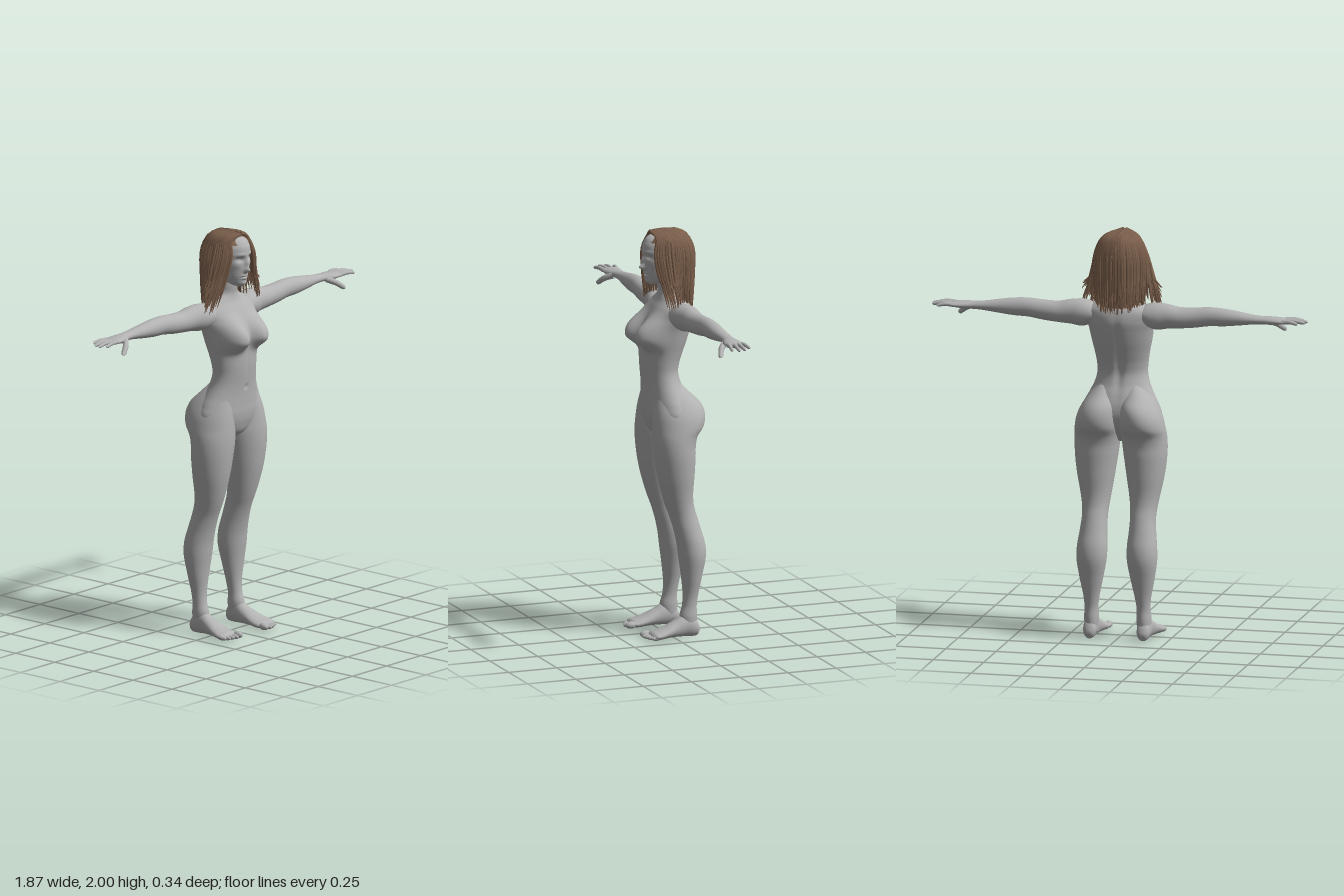
import * as THREE from 'three';
import { mergeGeometries } from 'three/addons/utils/BufferGeometryUtils.js';

const { smoothstep, lerp, degToRad } = THREE.MathUtils;
const V = (x, y, z) => new THREE.Vector3(x, y, z);
const gauss = (x, y, sx, sy) => Math.exp(-((x / sx) ** 2) - (y / sy) ** 2);

// Smooth loft along an axis; each row is [position, u0, u1, v0, v1], the bounds of an ellipse.
// u and v are x,z for axis y; y,z for axis x; x,y for axis z.
function loft(axis, rows, steps, sides, sculpt) {
  const spline = new THREE.CubicInterpolant(rows.map(r => r[0]), rows.flatMap(r => r.slice(1)), 4);
  const t0 = rows[0][0], t1 = rows[rows.length - 1][0];
  const pos = [], index = [];
  const place = (t, u, v) => {
    const p = axis === 'y' ? V(u, t, v) : axis === 'x' ? V(t, u, v) : V(u, v, t);
    if (sculpt) sculpt(p);
    pos.push(p.x, p.y, p.z);
  };
  const tri = (a, b, c) => (axis === 'y' ? index.push(a, c, b) : index.push(a, b, c));
  const ends = [];
  for (let i = 0; i <= steps; i++) {
    const t = lerp(t0, t1, i / steps);
    const [u0, u1, v0, v1] = spline.evaluate(t);
    const cu = (u0 + u1) / 2, cv = (v0 + v1) / 2;
    for (let j = 0; j < sides; j++) {
      const a = (j / sides) * Math.PI * 2;
      place(t, cu + (u1 - u0) / 2 * Math.cos(a), cv + (v1 - v0) / 2 * Math.sin(a));
    }
    if (i === 0 || i === steps) ends.push([t, cu, cv]);
  }
  ends.forEach(e => place(...e));
  const first = (steps + 1) * sides;
  for (let j = 0; j < sides; j++) {
    const k = (j + 1) % sides;
    for (let i = 0; i < steps; i++) {
      const a = i * sides + j, b = i * sides + k;
      tri(a, b, a + sides);
      tri(b, b + sides, a + sides);
    }
    tri(first, k, j);
    tri(first + 1, steps * sides + j, steps * sides + k);
  }
  const g = new THREE.BufferGeometry();
  g.setAttribute('position', new THREE.Float32BufferAttribute(pos, 3));
  g.setIndex(index);
  g.computeVertexNormals();
  return g;
}

// Symmetric sections [y, halfWidth, back, front]
const centred = rows => rows.map(([y, w, b, f]) => [y, -w, w, b, f]);

// Tube through points whose thickness follows width(t)
function taperedTube(points, radius, width, segments, sides) {
  const path = new THREE.CatmullRomCurve3(points);
  const g = new THREE.TubeGeometry(path, segments, radius, sides);
  const p = g.attributes.position, v = V(0, 0, 0);
  for (let i = 0; i < p.count; i++) {
    const t = Math.floor(i / (sides + 1)) / segments, c = path.getPointAt(t);
    v.fromBufferAttribute(p, i).sub(c).multiplyScalar(width(t)).add(c);
    p.setXYZ(i, v.x, v.y, v.z);
  }
  return g;
}

function ellipsoid(x, y, z, rx, ry, rz) {
  return new THREE.SphereGeometry(1, 20, 14).scale(rx, ry, rz).translate(x, y, z);
}

function mirrored(geometry) {
  const g = geometry.clone().scale(-1, 1, 1), a = g.index.array;
  for (let i = 0; i < a.length; i += 3) [a[i], a[i + 1]] = [a[i + 1], a[i]];
  return g;
}

// Chest, spine and navel relief
function sculptTorso(p) {
  const front = smoothstep(p.z, 0, 0.06), back = smoothstep(-p.z, 0.02, 0.05);
  const dx = (Math.abs(p.x) - 0.083) / 0.068, dy = p.y - 1.488;
  const d = Math.hypot(dx, dy / (dy > 0 ? 0.085 : 0.058));
  p.z += front * 0.078 * Math.exp(-(d ** 2.7));
  p.z -= front * 0.008 * gauss(p.x, p.y - 1.235, 0.009, 0.012);
  p.z -= front * 0.004 * gauss(p.x, p.y - 1.34, 0.012, 0.09);
  p.z += back * 0.012 * gauss(p.x, p.y - 1.38, 0.02, 0.18);
}

// Face relief: [x, y, height, width, tallness]
const FACE = [
  [0, 1.817, 0.024, 0.012, 0.014], [0, 1.848, 0.013, 0.009, 0.028], [0.032, 1.873, -0.013, 0.018, 0.012],
  [0.035, 1.897, 0.004, 0.024, 0.009], [0, 1.789, 0.007, 0.02, 0.006], [0, 1.775, 0.007, 0.016, 0.006],
  [0, 1.782, -0.005, 0.022, 0.003], [0, 1.748, 0.006, 0.018, 0.012], [0.05, 1.845, 0.005, 0.02, 0.02],
];
function sculptFace(p) {
  const { x, y } = p, front = smoothstep(p.z, 0.02, 0.065);
  for (const [fx, fy, h, w, t] of FACE) p.z += front * h * gauss(Math.abs(x) - fx, y - fy, w, t);
}

export function createModel() {
  const model = new THREE.Group();
  const skin = new THREE.MeshStandardMaterial({ name: 'grey skin', color: 0xb2b2b2 });
  const brown = new THREE.MeshStandardMaterial({ name: 'brown hair', color: 0x7c604c, side: THREE.DoubleSide });
  const add = (name, geometry, material = skin) => {
    const mesh = new THREE.Mesh(geometry, material);
    mesh.name = name;
    model.add(mesh);
  };
  const addPair = (name, geometry, material) => {
    add('left' + name, geometry, material);
    add('right' + name, mirrored(geometry), material);
  };

  // Torso with neck
  add('torso', loft('y', centred([
    [0.965, 0.02, -0.03, 0.02], [1.0, 0.09, -0.06, 0.065], [1.05, 0.17, -0.095, 0.088],
    [1.1, 0.2, -0.11, 0.098], [1.15, 0.185, -0.108, 0.1], [1.2, 0.158, -0.093, 0.102],
    [1.25, 0.135, -0.072, 0.106], [1.3, 0.124, -0.062, 0.112], [1.35, 0.127, -0.07, 0.116],
    [1.4, 0.135, -0.086, 0.116], [1.46, 0.147, -0.106, 0.112], [1.52, 0.157, -0.122, 0.102],
    [1.57, 0.168, -0.13, 0.085], [1.62, 0.168, -0.122, 0.058], [1.655, 0.115, -0.105, 0.036],
    [1.685, 0.066, -0.088, 0.028], [1.73, 0.054, -0.076, 0.032], [1.8, 0.052, -0.07, 0.035],
  ]), 150, 80, sculptTorso));

  // Head
  add('head', loft('y', centred([
    [1.728, 0.008, 0.045, 0.07], [1.74, 0.032, 0.005, 0.084], [1.77, 0.056, -0.055, 0.094],
    [1.81, 0.071, -0.088, 0.1], [1.86, 0.08, -0.105, 0.104], [1.9, 0.082, -0.11, 0.108],
    [1.94, 0.074, -0.1, 0.1], [1.97, 0.05, -0.07, 0.07], [1.985, 0.01, -0.02, 0.02],
  ]), 120, 100, sculptFace));
  addPair('Eye', ellipsoid(0.032, 1.873, 0.073, 0.015, 0.009, 0.013));
  addPair('Eyelash', taperedTube([V(0.017, 1.874, 0.086), V(0.032, 1.883, 0.088), V(0.049, 1.875, 0.078)],
    0.002, () => 1, 10, 5), brown);

  // Legs, from inside the waist down to the ankle
  addPair('Leg', loft('y', [
    [0.03, 0.1, 0.16, -0.115, -0.05], [0.1, 0.094, 0.166, -0.12, -0.032], [0.15, 0.096, 0.163, -0.118, -0.045],
    [0.2, 0.09, 0.166, -0.125, -0.05], [0.3, 0.069, 0.185, -0.145, -0.043], [0.4, 0.051, 0.199, -0.164, -0.03],
    [0.46, 0.05, 0.197, -0.16, -0.022], [0.53, 0.055, 0.188, -0.14, -0.006], [0.6, 0.057, 0.182, -0.119, 0.016],
    [0.65, 0.053, 0.186, -0.105, 0.035], [0.7, 0.046, 0.195, -0.1, 0.051], [0.8, 0.03, 0.215, -0.105, 0.076],
    [0.9, 0.015, 0.227, -0.11, 0.091], [0.96, 0.007, 0.228, -0.113, 0.096], [1.0, 0.002, 0.226, -0.126, 0.097],
    [1.04, 0, 0.221, -0.156, 0.096], [1.1, 0, 0.207, -0.166, 0.092], [1.15, 0.004, 0.183, -0.149, 0.086],
    [1.2, 0.018, 0.15, -0.1, 0.075], [1.25, 0.04, 0.105, -0.052, 0.05],
  ], 130, 48));

  // Feet and toes
  addPair('Foot', loft('z', [
    [-0.131, 0.12, 0.145, 0.025, 0.045], [-0.122, 0.107, 0.158, 0.006, 0.07], [-0.1, 0.1, 0.166, 0, 0.095],
    [-0.05, 0.095, 0.168, 0.002, 0.108], [0, 0.09, 0.177, 0.003, 0.083], [0.05, 0.083, 0.19, 0.002, 0.058],
    [0.09, 0.08, 0.198, 0, 0.044], [0.115, 0.084, 0.192, 0.005, 0.036], [0.125, 0.1, 0.17, 0.012, 0.026],
  ], 50, 36));
  const toes = [[0.095, 0.132, 0.017], [0.121, 0.132, 0.012], [0.143, 0.125, 0.0115], [0.163, 0.117, 0.011], [0.182, 0.107, 0.011]];
  addPair('Toes', mergeGeometries(toes.map(([x, z, r]) => ellipsoid(x, r + 0.004, z, r, r, 0.028))));

  // Arms run through the palm to the knuckles
  addPair('Arm', loft('x', [
    [0.08, 1.575, 1.625, -0.075, 0.01], [0.13, 1.545, 1.648, -0.1, 0.03], [0.18, 1.528, 1.659, -0.106, 0.026],
    [0.24, 1.536, 1.656, -0.102, 0.01], [0.3, 1.541, 1.645, -0.1, 0.002], [0.38, 1.549, 1.647, -0.095, -0.002],
    [0.45, 1.56, 1.652, -0.092, -0.006], [0.52, 1.563, 1.649, -0.091, -0.008], [0.6, 1.572, 1.638, -0.088, -0.014],
    [0.67, 1.581, 1.627, -0.084, -0.022], [0.72, 1.584, 1.623, -0.082, -0.021], [0.76, 1.583, 1.622, -0.087, -0.008],
    [0.8, 1.587, 1.619, -0.092, -0.002], [0.83, 1.592, 1.615, -0.092, -0.004], [0.845, 1.598, 1.61, -0.082, -0.014],
  ], 110, 36));
  // Fingers and thumb: base z, tip x, tip z
  const rounded = t => Math.sqrt(Math.max(0.001, 1 - Math.max(0, (t - 0.85) / 0.15) ** 2)) * (1 - 0.3 * t);
  const fingers = [[-0.013, 0.91, 0.002], [-0.036, 0.933, -0.028], [-0.059, 0.928, -0.058], [-0.08, 0.897, -0.093]];
  addPair('Fingers', mergeGeometries([
    ...fingers.map(([z, tx, tz]) => taperedTube(
      [V(0.815, 1.604, z), V((0.815 + tx) / 2, 1.607, (z + tz) / 2), V(tx, 1.599, tz)], 0.0112, rounded, 16, 10)),
    taperedTube([V(0.735, 1.598, -0.03), V(0.77, 1.578, 0.003), V(0.815, 1.544, 0.026)], 0.0165, rounded, 16, 10),
  ]));

  // Hair underlayer: crown cap and a sheet down the back
  const shell = (pts, from, to) => new THREE.LatheGeometry(
    new THREE.SplineCurve(pts.map(([r, y]) => new THREE.Vector2(r, y))).getPoints(16), 40, degToRad(from), degToRad(to - from)
  ).scale(1, 1, 1.1).translate(0, 0, -0.016);
  add('hairCap', shell([[0.001, 1.99], [0.045, 1.985], [0.08, 1.965], [0.098, 1.943]], 0, 360), brown);
  add('hairBack', shell([[0.09, 1.955], [0.108, 1.9], [0.112, 1.8], [0.11, 1.72], [0.108, 1.64]], 95, 265), brown);
  add('hairSides', shell([[0.09, 1.955], [0.104, 1.9], [0.104, 1.84], [0.1, 1.79]], 55, 305), brown);

  // Hair strands fall from the centre parting; the front ones flare over the shoulders
  let seed = 7;
  const rand = () => (seed = (seed * 16807) % 2147483647) / 2147483647;
  const strands = [];
  for (const side of [-1, 1]) {
    for (let i = 0; i < 110; i++) {
      const k = i / 109, deg = 44 + 136 * k, a = degToRad(deg + (rand() - 0.5) * 4);
      const flare = 1 - smoothstep(deg, 62, 115), sx = side * Math.sin(a), cz = Math.cos(a);
      const w = 1 + (rand() - 0.5) * 0.08, endY = 1.61 + rand() * (deg > 120 ? 0.05 : 0.13);
      strands.push(taperedTube([
        V(side * 0.004, 1.989 + rand() * 0.004, lerp(0.07, -0.06, k)),
        V(sx * 0.082, 1.968, cz * 0.095 - 0.014),
        V(sx * 0.118 * w, 1.895, cz * 0.124 * w - 0.016),
        V(sx * (0.122 + 0.04 * flare) * w, 1.77, cz * (cz > 0 ? 0.105 : 0.124) * w - 0.016),
        V(sx * (0.118 + 0.095 * flare) * w, endY, cz * (cz > 0 ? 0.08 : 0.124) * w - 0.016),
      ], 0.0085, t => (t < 0.7 ? 1 : 1 - 0.85 * (t - 0.7) / 0.3), 14, 5));
    }
  }
  add('hairStrands', mergeGeometries(strands), brown);
  return model;
}
